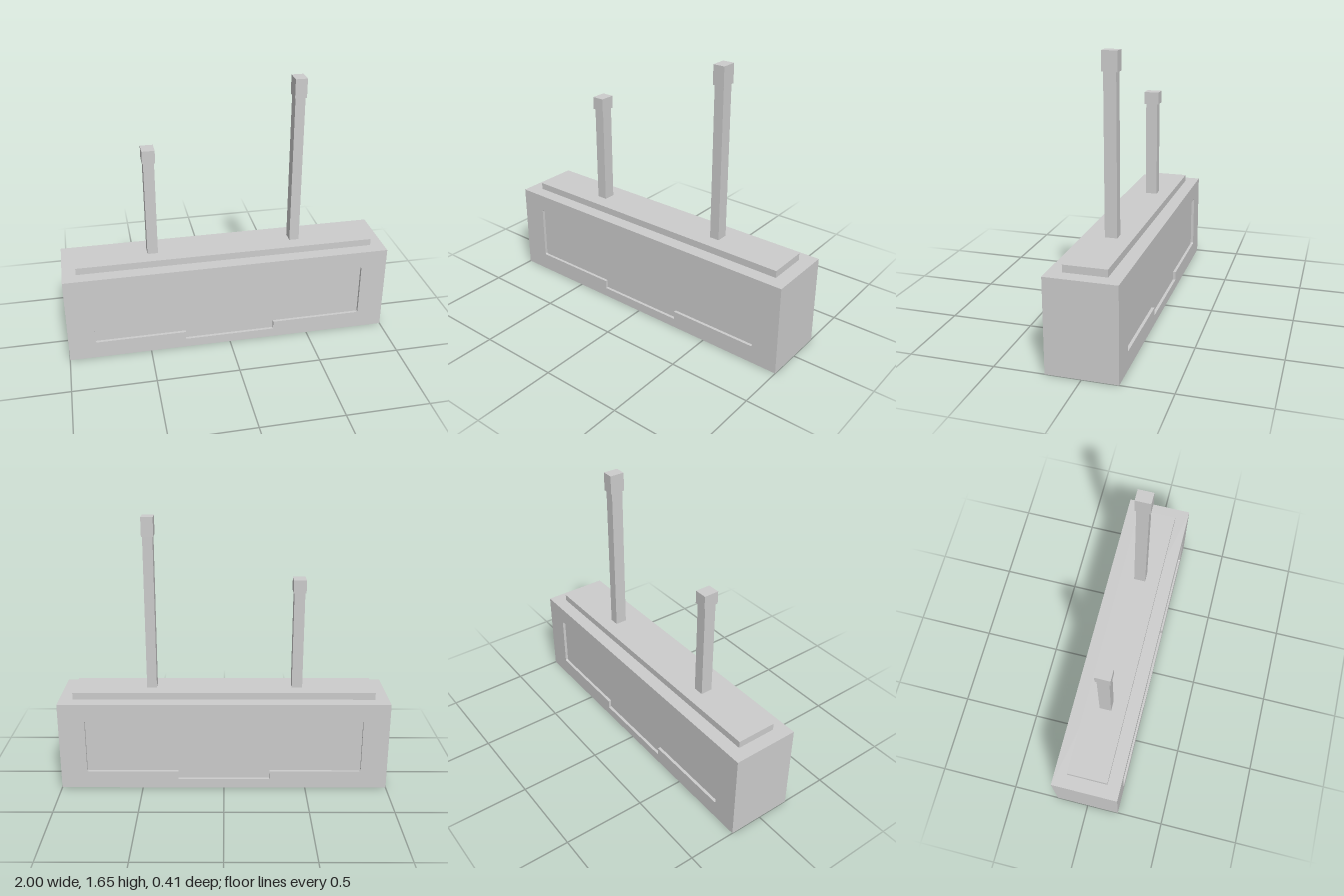
import * as THREE from 'three';

const material = new THREE.MeshStandardMaterial({ color: 0xcccccc, flatShading: true });

function addMesh(parent, name, geometry, x = 0, y = 0, z = 0) {
  const mesh = new THREE.Mesh(geometry, material);
  mesh.name = name;
  mesh.position.set(x, y, z);
  parent.add(mesh);
  return mesh;
}

// Box given by its bottom height and top height
function addBlock(parent, name, x, bottom, top, width, depth) {
  return addMesh(parent, name, new THREE.BoxGeometry(width, top - bottom, depth), x, (bottom + top) / 2, 0);
}

// Wide panel outline with small chamfered corners and a lower central tab
function tracePanel(path) {
  const w = 0.84, top = 0.447, low = 0.11, tab = 0.28, tabLow = 0.058, c = 0.006;
  const points = [
    [-tab, tabLow], [tab, tabLow], [tab, low],
    [w - c, low], [w, low + c], [w, top - c], [w - c, top],
    [c - w, top], [-w, top - c], [-w, low + c], [c - w, low], [-tab, low],
  ];
  return path.setFromPoints(points.map(([x, y]) => new THREE.Vector2(x, y)));
}

export function createModel() {
  const model = new THREE.Group();
  model.name = 'blockWithPosts';

  // Main body, open where the panels are recessed
  const halfDepth = 0.206, height = 0.555, recess = 0.018;
  const outline = new THREE.Shape();
  outline.moveTo(-1, 0).lineTo(1, 0).lineTo(1, height).lineTo(-1, height).closePath();
  outline.holes.push(tracePanel(new THREE.Path()));
  const bodyGeometry = new THREE.ExtrudeGeometry(outline, { depth: halfDepth * 2, bevelEnabled: false });
  addMesh(model, 'body', bodyGeometry, 0, 0, -halfDepth);

  // Recessed panels, front and back
  const panelGeometry = new THREE.ShapeGeometry(tracePanel(new THREE.Shape()));
  addMesh(model, 'frontPanel', panelGeometry, 0, 0, halfDepth - recess);
  addMesh(model, 'backPanel', panelGeometry, 0, 0, recess - halfDepth).rotation.y = Math.PI;

  // Raised top slab
  addBlock(model, 'topSlab', 0, height, 0.598, 1.834, 0.25);

  // Two capped posts of different heights
  const posts = [
    { name: 'shortPost', x: -0.448, capBottom: 1.2, top: 1.277, width: 0.064, capWidth: 0.076 },
    { name: 'tallPost', x: 0.442, capBottom: 1.533, top: 1.647, width: 0.06, capWidth: 0.071 },
  ];
  for (const p of posts) {
    const post = new THREE.Group();
    post.name = p.name;
    addBlock(post, 'shaft', p.x, 0.598, p.capBottom, p.width, 0.073);
    addBlock(post, 'cap', p.x, p.capBottom, p.top, p.capWidth, 0.092);
    model.add(post);
  }
  return model;
}
